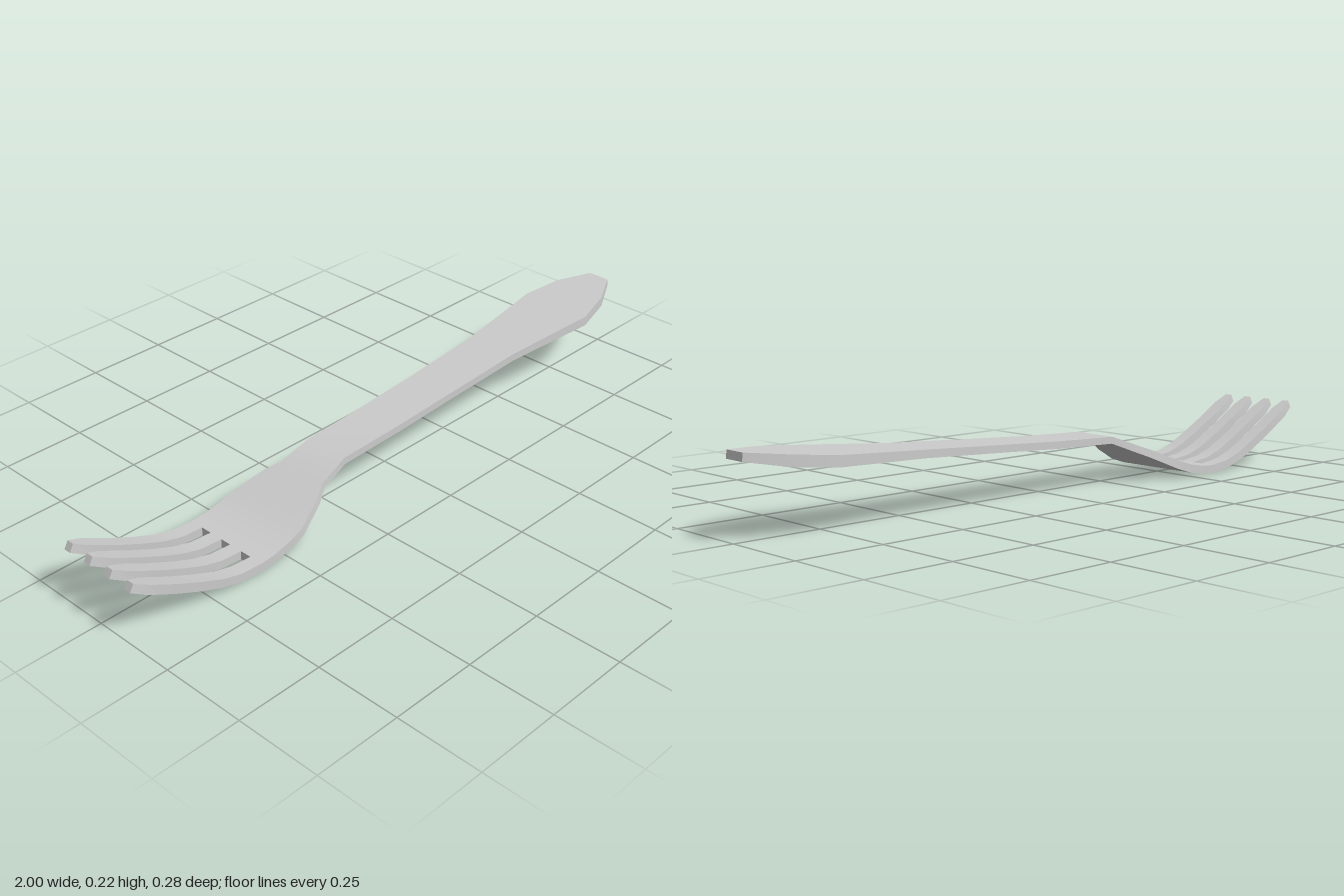
import * as THREE from 'three';
import { toCreasedNormals } from 'three/addons/utils/BufferGeometryUtils.js';

// Side profile of the whole fork: x, centre height, thickness
const spine = [
  [-0.994, 0.173, 0.024], [-0.95, 0.149, 0.026], [-0.87, 0.106, 0.026], [-0.79, 0.067, 0.026],
  [-0.72, 0.037, 0.025], [-0.66, 0.02, 0.024], [-0.59, 0.0125, 0.025],
  [-0.54, 0.016, 0.024], [-0.49, 0.026, 0.024], [-0.44, 0.042, 0.024], [-0.35, 0.081, 0.022],
  [-0.31, 0.098, 0.021], [-0.22, 0.131, 0.02], [0, 0.14, 0.021], [0.2, 0.152, 0.021],
  [0.48, 0.169, 0.022], [0.78, 0.187, 0.03], [0.9, 0.199, 0.03], [0.998, 0.212, 0.022],
];
const ROOT = 6; // station where the tines meet the head

// Outline of head and handle from the root onward: z min, z max
const outline = [
  [-0.142, 0.13], [-0.142, 0.129], [-0.141, 0.127], [-0.139, 0.125], [-0.11, 0.094],
  [-0.087, 0.071], [-0.077, 0.062], [-0.08, 0.064], [-0.083, 0.065],
  [-0.092, 0.068], [-0.125, 0.102], [-0.1, 0.073], [-0.046, 0.022],
];

// Four corners of a section standing square to the side profile
function section(i, z0, z1) {
  const [x, y, t] = spine[i];
  const a = spine[Math.max(i - 1, 0)], b = spine[Math.min(i + 1, spine.length - 1)];
  const len = Math.hypot(b[0] - a[0], b[1] - a[1]);
  const nx = (-(b[1] - a[1]) / len) * t / 2, ny = ((b[0] - a[0]) / len) * t / 2;
  return [
    [x + nx, y + ny, z0], [x + nx, y + ny, z1],
    [x - nx, y - ny, z1], [x - nx, y - ny, z0],
  ];
}

// Skin a row of four-cornered sections, closing both ends
function skin(name, rings, material) {
  const index = [], last = (rings.length - 1) * 4;
  for (let i = 0; i < rings.length - 1; i++) {
    for (let j = 0; j < 4; j++) {
      const a = i * 4 + j, b = i * 4 + (j + 1) % 4;
      index.push(a, b, b + 4, a, b + 4, a + 4);
    }
  }
  index.push(0, 2, 1, 0, 3, 2, last, last + 1, last + 2, last, last + 2, last + 3);
  const geometry = new THREE.BufferGeometry();
  geometry.setAttribute('position', new THREE.Float32BufferAttribute(rings.flat(2), 3));
  geometry.setIndex(index);
  const mesh = new THREE.Mesh(toCreasedNormals(geometry, 0.6), material);
  mesh.name = name;
  return mesh;
}

export function createModel() {
  const group = new THREE.Group();
  group.name = 'fork';
  const metal = new THREE.MeshStandardMaterial({ color: 0xcccccc });

  // Head and handle in one piece
  group.add(skin('headAndHandle', outline.map(([z0, z1], k) => section(ROOT + k, z0, z1)), metal));

  // Four tines, drifting slightly to +z and narrowing at the tips
  [-0.121, -0.045, 0.031, 0.109].forEach((z, n) => {
    const rings = [];
    for (let i = 0; i <= ROOT; i++) {
      const centre = z + 0.012 * (spine[ROOT][0] - spine[i][0]) / 0.36;
      const half = i === 0 ? 0.011 : 0.0212;
      rings.push(section(i, centre - half, centre + half));
    }
    group.add(skin('tine' + (n + 1), rings, metal));
  });
  return group;
}
